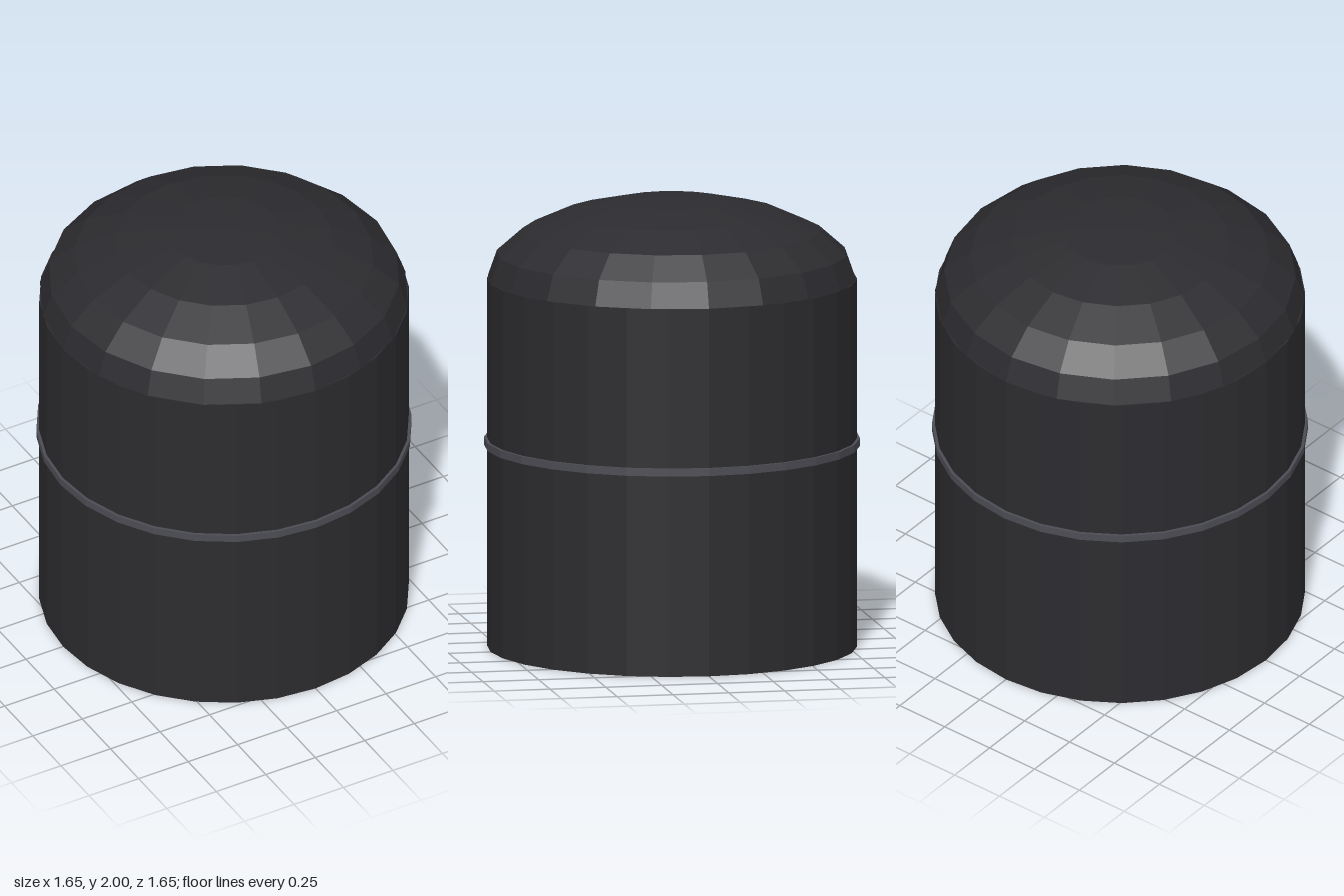
import * as THREE from 'three';

const RADIUS = 0.813;
const BODY_HEIGHT = 1.637;
const DOME_HEIGHT = 0.363;
const SIDES = 28;

export function createModel() {
  const model = new THREE.Group();
  const shell = new THREE.MeshStandardMaterial({ color: 0x2c2c30, flatShading: true });
  const trim = new THREE.MeshStandardMaterial({ color: 0x4c4c54, flatShading: true });

  const add = (name, geometry, material, y) => {
    const mesh = new THREE.Mesh(geometry, material);
    mesh.name = name;
    mesh.position.y = y;
    model.add(mesh);
  };

  // Straight drum, closed at both ends
  add('body', new THREE.CylinderGeometry(RADIUS, RADIUS, BODY_HEIGHT, SIDES), shell, BODY_HEIGHT / 2);

  // Flattened half sphere on top, with coarser facets than the drum
  const dome = new THREE.SphereGeometry(RADIUS, 20, 5, 0, Math.PI * 2, 0, Math.PI / 2);
  dome.scale(1, DOME_HEIGHT / RADIUS, 1);
  add('domeLid', dome, shell, BODY_HEIGHT);

  // Thin seam band around the middle
  add('seamBand', new THREE.CylinderGeometry(0.826, 0.826, 0.034, SIDES), trim, 0.911);

  return model;
}
